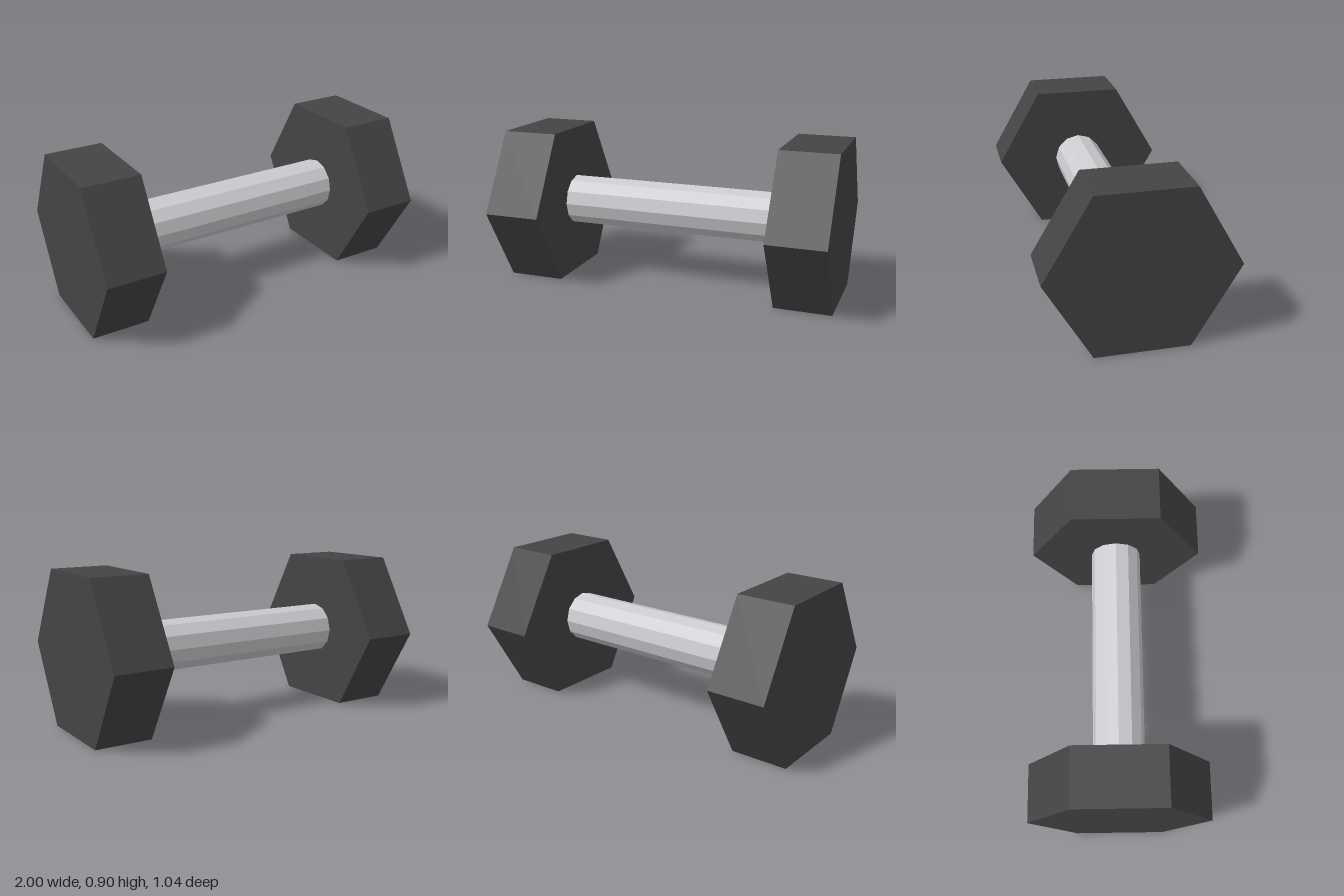
import * as THREE from 'three';

const rubber = new THREE.MeshStandardMaterial({ color: 0x444444 });
rubber.name = 'dark rubber';
const steel = new THREE.MeshStandardMaterial({ color: 0xcccbd0 });
steel.name = 'pale steel';

const CENTRE_Y = 0.45;

// Faceted prism lying along x, with a corner pointing to the front
function prism(name, radius, length, sides, x, material) {
  const geometry = new THREE.CylinderGeometry(radius, radius, length, sides)
    .rotateZ(Math.PI / 2)
    .toNonIndexed();
  geometry.computeVertexNormals();
  const mesh = new THREE.Mesh(geometry, material);
  mesh.name = name;
  mesh.position.set(x, CENTRE_Y, 0);
  return mesh;
}

export function createModel() {
  const group = new THREE.Group();
  group.name = 'dumbbell';

  // Twelve-sided grip between the heads
  group.add(prism('handle', 0.15, 1.334, 12, 0, steel));

  // Hexagonal weights
  for (const [name, side] of [['leftWeight', 1], ['rightWeight', -1]]) {
    group.add(prism(name, CENTRE_Y / Math.cos(Math.PI / 6), 0.333, 6, side * 0.8335, rubber));
  }
  return group;
}
